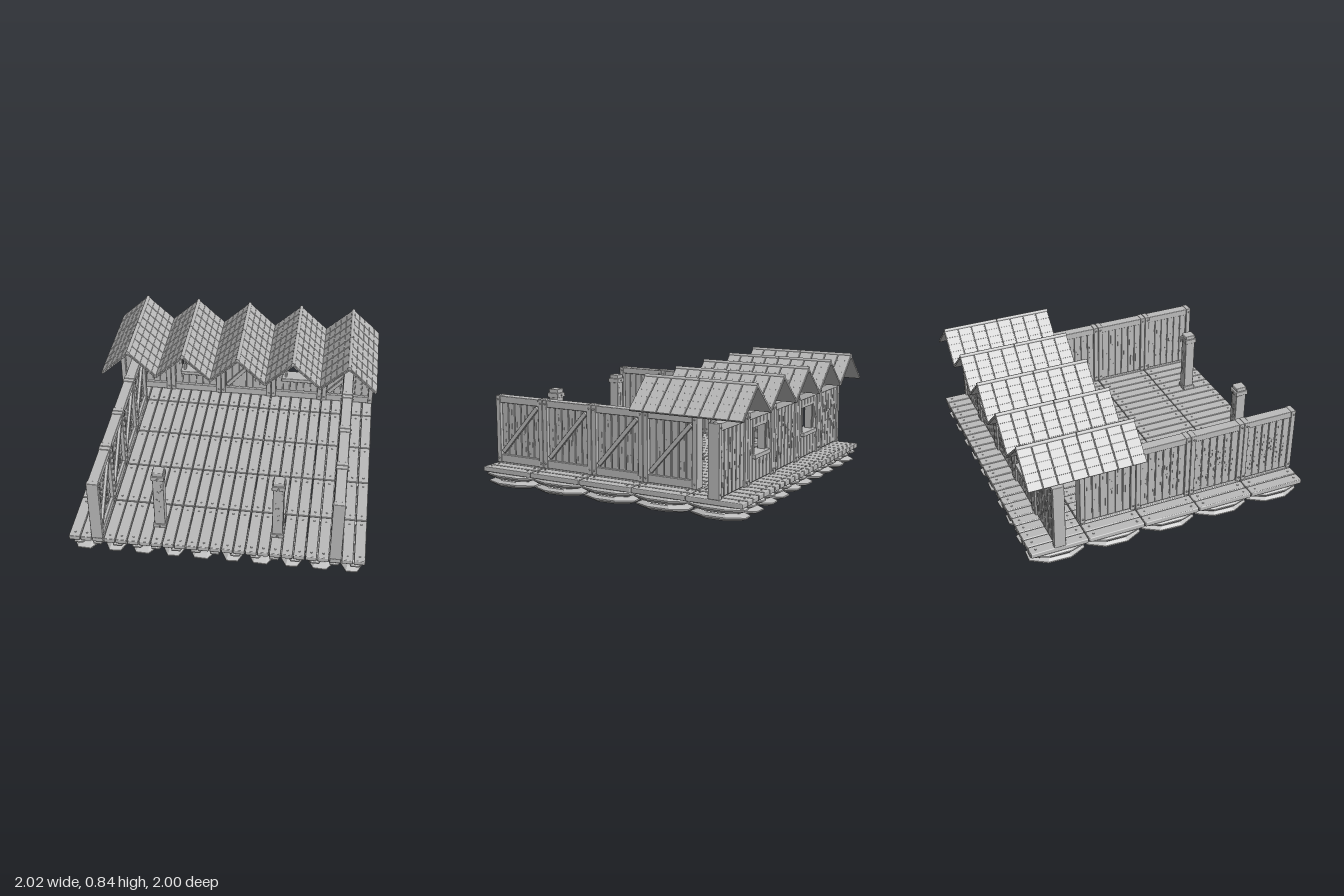
import * as THREE from 'three';
import { mergeGeometries } from 'three/addons/utils/BufferGeometryUtils.js';
import { RoundedBoxGeometry } from 'three/addons/geometries/RoundedBoxGeometry.js';

const CELL = 0.4, FLOOR = 0.133, TOP = 0.61;

let seed = 7;
const rand = () => (seed = (seed * 16807) % 2147483647) / 2147483647;

// Chamfered or plain box, placed by its centre
function box(w, h, d, x, y, z, bevel = 0) {
  const g = bevel ? new RoundedBoxGeometry(w, h, d, 1, bevel) : new THREE.BoxGeometry(w, h, d).toNonIndexed();
  return g.translate(x, y, z);
}

function bolt(x, y, z, r = 0.007) {
  return new THREE.CylinderGeometry(r * 0.7, r, 0.008, 6).rotateX(Math.PI / 2 * Math.sign(z))
    .translate(x, y, z).toNonIndexed();
}

function part(name, geometries, material) {
  const mesh = new THREE.Mesh(mergeGeometries(geometries), material);
  mesh.name = name;
  return mesh;
}

// Flat stone: eight-sided, widest at mid height
function stone(w, h, l, x, y, z) {
  const profile = [[0, -0.5], [0.8, -0.45], [1, -0.1], [1, 0.1], [0.8, 0.45], [0, 0.5]]
    .map(([r, v]) => new THREE.Vector2(r, v));
  const g = new THREE.LatheGeometry(profile, 8).rotateY(Math.PI / 8)
    .scale(w / 1.85, h, l / 1.85).rotateY((rand() - 0.5) * 0.1).translate(x, y, z).toNonIndexed();
  g.computeVertexNormals();
  return g;
}

// Floor tile: five planks with nails, on two layers of stones
function floorTile(material) {
  const group = new THREE.Group();
  group.name = 'floorTile';
  const planks = [], nails = [], stones = [];
  for (let i = 0; i < 5; i++) {
    const x = (i - 2) * 0.08;
    planks.push(box(0.075, 0.035, 0.394, x, 0.1155, 0, 0.006));
    for (const z of [-0.155, 0.155]) {
      nails.push(new THREE.CylinderGeometry(0.005, 0.007, 0.004, 6).translate(x, 0.135, z).toNonIndexed());
    }
  }
  for (const [x, w] of [[-0.09, 0.215], [0.105, 0.18]]) stones.push(stone(w, 0.046, 0.38, x, 0.024, 0));
  for (const [x, w] of [[-0.13, 0.14], [0, 0.13], [0.13, 0.14]]) stones.push(stone(w, 0.048, 0.385, x, 0.077, 0));
  group.add(part('floorPlanks', planks, material), part('floorNails', nails, material),
    part('foundationStones', stones, material));
  return group;
}

// Wall panel facing +z, with a brace or a window opening
function wallPanel(hasWindow, material) {
  const group = new THREE.Group();
  group.name = hasWindow ? 'windowPanel' : 'bracedPanel';
  const frame = [], boards = [], bolts = [], grain = [];
  for (const s of [-1, 1]) {
    frame.push(box(0.036, TOP - FLOOR, 0.08, s * 0.181, (TOP + FLOOR) / 2, 0, 0.005));
    for (const y of [0.165, 0.582]) for (const z of [-0.043, 0.043]) bolts.push(bolt(s * 0.181, y, z));
  }
  frame.push(box(0.33, 0.048, 0.072, 0, 0.583, 0, 0.005));
  frame.push(box(0.33, 0.055, 0.062, 0, 0.163, 0.006, 0.005));

  // Vertical boards, left out where the opening is
  const columns = 6, step = 0.328 / columns;
  for (let i = 0; i < columns; i++) {
    const x = (i - (columns - 1) / 2) * step;
    const open = hasWindow && Math.abs(x) < 0.09;
    for (const [a, b] of open ? [[0.14, 0.31], [0.5, 0.57]] : [[0.14, 0.57]]) {
      boards.push(box(step - 0.005, b - a, 0.046, x, (a + b) / 2, -0.006, 0.004));
      boards.push(box(step, b - a, 0.03, x, (a + b) / 2, -0.006));
    }
    // Raised wood grain
    if (!open) for (let k = 0; k < 5; k++) {
      const h = 0.03 + rand() * 0.05, y = 0.23 + rand() * 0.28;
      for (const z of [0.017, -0.029]) {
        grain.push(box(0.004, h, 0.004, x + (rand() - 0.5) * 0.03, y, z));
      }
    }
  }
  group.add(part('frame', frame, material), part('boards', boards, material),
    part('frameBolts', bolts, material), part('woodGrain', grain, material));

  if (hasWindow) {
    group.add(part('windowSurround', [
      box(0.235, 0.03, 0.11, 0, 0.31, 0, 0.005),
      box(0.2, 0.022, 0.06, 0, 0.508, 0, 0.004),
      ...[-1, 1].map(s => box(0.018, 0.2, 0.056, s * 0.087, 0.41, 0, 0.004)),
    ], material));
  } else {
    const brace = new RoundedBoxGeometry(0.03, 0.45, 0.022, 1, 0.004)
      .rotateZ(-Math.atan2(0.3, 0.34)).translate(0, 0.378, 0.026);
    group.add(part('diagonalBrace', [brace], material));
  }
  return group;
}

// Freestanding pillar with bands and bolts
function pillar(material) {
  const list = [
    box(0.074, TOP - FLOOR, 0.076, 0, (TOP + FLOOR) / 2, 0, 0.006),
    box(0.09, 0.035, 0.092, 0, 0.565, 0, 0.005),
    box(0.09, 0.03, 0.092, 0, 0.15, 0, 0.005),
  ];
  for (const z of [-0.048, 0.048]) for (const y of [0.15, 0.565]) list.push(bolt(0, y, z));
  for (let k = 0; k < 12; k++) {
    list.push(box(0.004, 0.04 + rand() * 0.06, 0.08, (rand() - 0.5) * 0.05, 0.23 + rand() * 0.26, 0));
  }
  return part('pillar', list, material);
}

// Roof gable: two tiled slopes and a ridge cap, running along z
function gable(material) {
  const group = new THREE.Group();
  group.name = 'roofGable';
  const rise = 0.186, slope = Math.hypot(0.2, rise), angle = Math.atan2(rise, 0.2);
  const rows = 5, step = slope / rows, depth = 0.8;
  for (const s of [-1, 1]) {
    const sheet = [box(slope, 0.008, depth, 0, 0, 0)], tiles = [];
    for (let r = 0; r < rows; r++) for (let c = 0; c < 8; c++) {
      const tile = box(step + 0.004, 0.011, 0.096, 0, 0, 0, 0.004).rotateZ(-s * 0.06);
      tiles.push(tile.translate((r - (rows - 1) / 2) * step, 0.009, (c - 3.5) * 0.1));
    }
    const side = new THREE.Group();
    side.name = s < 0 ? 'rightSlope' : 'leftSlope';
    side.add(part('roofSheet', sheet, material), part('roofTiles', tiles, material));
    side.rotation.z = -s * angle;
    side.position.set(s * 0.1, 0.634 + rise / 2, 0);
    group.add(side);
  }
  // Ridge cap in two lengths
  const ridge = [-0.2, 0.2].map(z => new THREE.CylinderGeometry(0.014, 0.014, 0.396, 8)
    .rotateX(Math.PI / 2).translate(0, 0.831, z).toNonIndexed());
  group.add(part('ridgeCap', ridge, material));
  return group;
}

export function createModel() {
  const model = new THREE.Group();
  model.name = 'house';
  const grey = new THREE.MeshStandardMaterial({ color: 0xbbbbbb });
  grey.name = 'grey';

  const place = (object, x, z, turn = 0) => {
    const copy = object.clone();
    copy.position.set(x, 0, z);
    copy.rotation.y = turn;
    model.add(copy);
  };

  const tile = floorTile(grey), braced = wallPanel(false, grey), windowed = wallPanel(true, grey);
  const post = pillar(grey), roof = gable(grey);

  for (let i = -2; i <= 2; i++) {
    for (let j = -2; j <= 2; j++) place(tile, i * CELL, j * CELL);
    // Back wall and roof
    place(Math.abs(i) === 1 ? windowed : braced, i * CELL, -0.8);
    place(roof, i * CELL, -0.6);
  }
  // Side walls, both facing +x
  for (const x of [-0.8, 0.8]) {
    for (let j = -1; j <= 2; j++) place(braced, x, j * CELL, Math.PI / 2);
  }
  for (const x of [-0.4, 0.4]) place(post, x, 0.8);
  return model;
}
